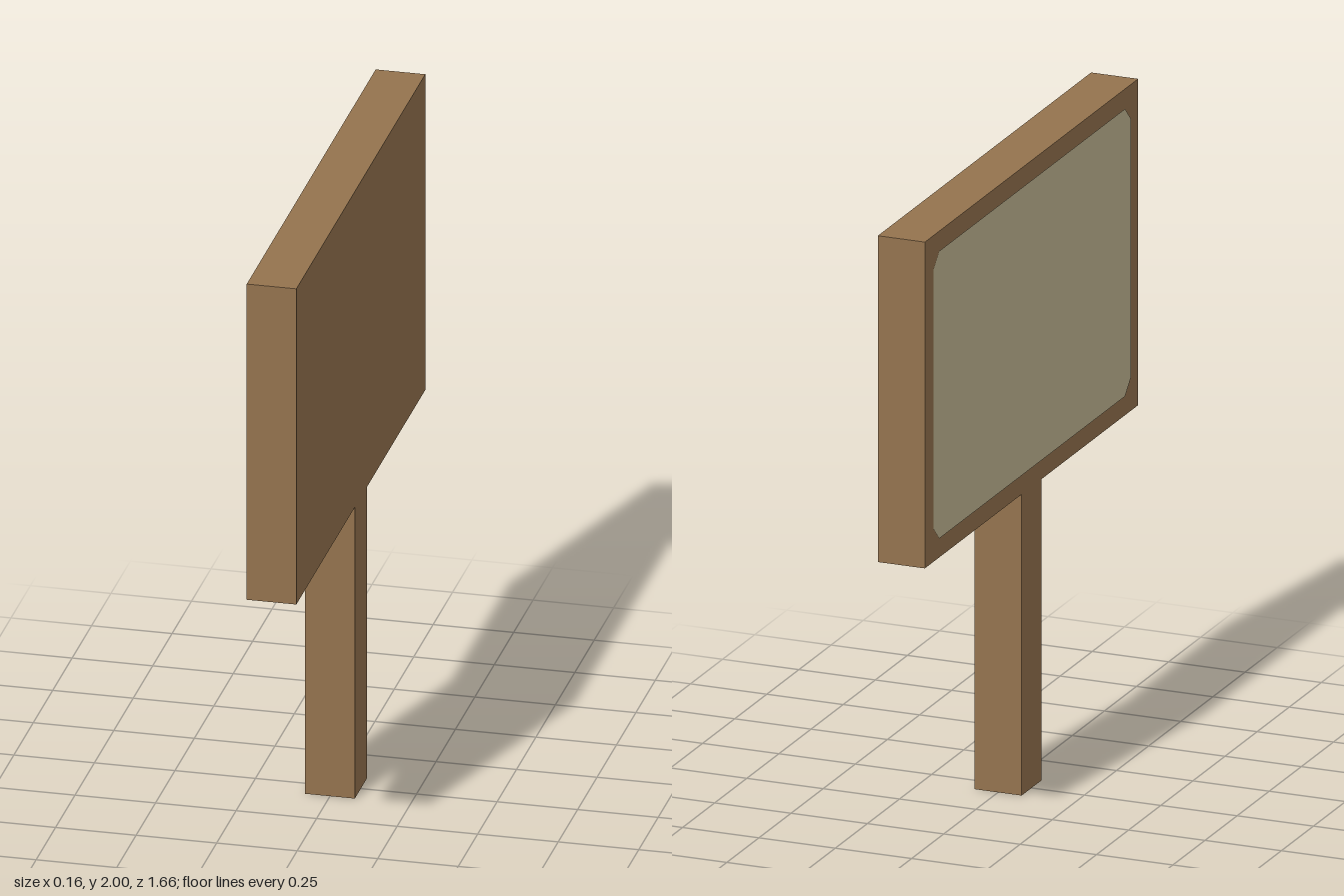
import * as THREE from 'three';

const mat = (name, color) => {
  const m = new THREE.MeshStandardMaterial({ color });
  m.name = name;
  return m;
};

export function createModel() {
  const wood = mat('wood', 0x94734e);
  const darkWood = mat('dark wood', 0x4a3a34);
  const paper = mat('pale panel', 0xc4b994);

  const half = 0.077, postTop = 0.96, boardTop = 2, boardHalf = 0.83;
  const boardHeight = boardTop - postTop;
  const midY = (boardTop + postTop) / 2;
  const group = new THREE.Group();
  group.name = 'signpost';

  const add = (name, geometry, material, x, y) => {
    const mesh = new THREE.Mesh(geometry, material);
    mesh.name = name;
    mesh.position.set(x, y, 0);
    group.add(mesh);
    return mesh;
  };

  // Square post
  add('post', new THREE.BoxGeometry(half * 2, postTop, half * 2), wood, 0, postTop / 2);

  // Board with a dark underside
  add('board', new THREE.BoxGeometry(half * 2, boardHeight, boardHalf * 2),
    [wood, wood, wood, darkWood, wood, wood], 0, midY);

  // Pale writing panel with clipped corners, on the -x face
  const w = boardHalf - 0.062, h = boardHeight / 2 - 0.062, c = 0.045;
  const outline = new THREE.Shape([
    [w - c, -h], [w, -h + c], [w, h - c], [w - c, h],
    [-w + c, h], [-w, h - c], [-w, -h + c], [-w + c, -h],
  ].map(([x, y]) => new THREE.Vector2(x, y)));
  const panel = add('writingPanel', new THREE.ShapeGeometry(outline), paper, -half - 0.002, midY);
  panel.rotation.y = -Math.PI / 2;

  return group;
}
